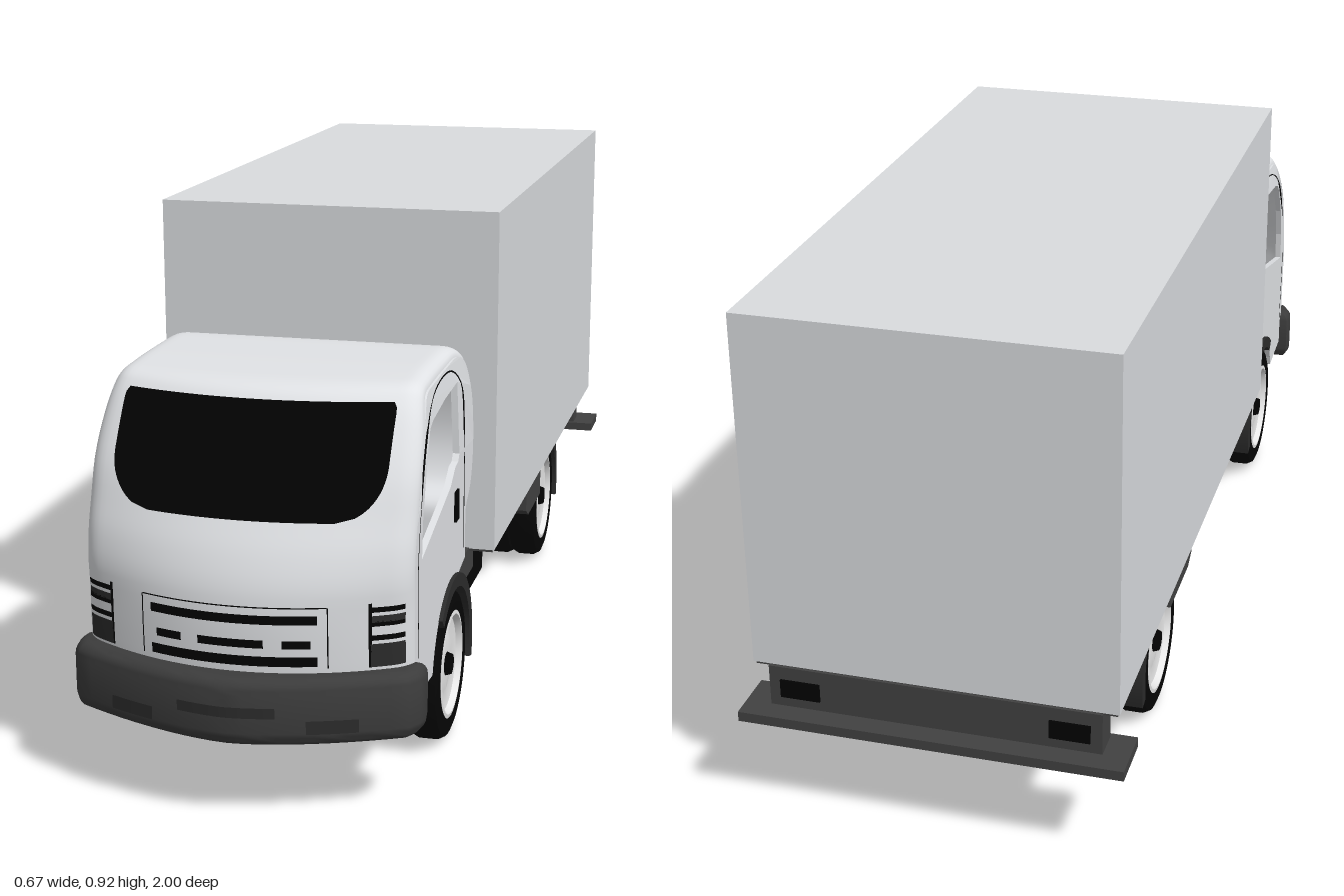
import * as THREE from 'three';
import { toCreasedNormals } from 'three/addons/utils/BufferGeometryUtils.js';

const mat = (name, color, side = THREE.FrontSide) => {
  const m = new THREE.MeshStandardMaterial({ color, side });
  m.name = name;
  return m;
};
const clamp = THREE.MathUtils.clamp;
const rad = THREE.MathUtils.degToRad;

export function createModel() {
  const truck = new THREE.Group();
  truck.name = 'boxTruck';
  const paint = mat('cabPaint', 0xe1e3e6, THREE.DoubleSide);
  const cargo = mat('cargoGrey', 0xdadcdf);
  const plastic = mat('bumperGrey', 0x3c3c3c);
  const chassis = mat('chassisGrey', 0x424242);
  const guardMat = mat('guardGrey', 0x2c2c2c, THREE.DoubleSide);
  const black = mat('black', 0x020202, THREE.DoubleSide);
  const rubber = mat('rubber', 0x060606);
  const rimMat = mat('rimWhite', 0xfafafa, THREE.DoubleSide);

  const add = (name, geo, material, parent = truck) => {
    const m = new THREE.Mesh(geo, material);
    m.name = name;
    parent.add(m);
    return m;
  };
  // box given by its limits on each axis
  const box = (name, material, [x0, x1], [y0, y1], [z0, z1]) => {
    const g = new THREE.BoxGeometry(x1 - x0, y1 - y0, z1 - z0);
    g.translate((x0 + x1) / 2, (y0 + y1) / 2, (z0 + z1) / 2);
    return add(name, g, material);
  };
  // side outline of (z, y) points, extruded across x
  const across = (name, material, pts, x0, x1) => {
    const shape = new THREE.Shape(pts.map(p => new THREE.Vector2(...p)));
    const g = new THREE.ExtrudeGeometry(shape, { depth: x1 - x0, bevelEnabled: false });
    g.rotateY(-Math.PI / 2).translate(x1, 0, 0);
    return add(name, toCreasedNormals(g, 0.5), material);
  };
  // smooth surface from a point rule f(u, v)
  const surface = (nu, nv, f) => {
    const pos = [], idx = [];
    for (let j = 0; j <= nv; j++) for (let i = 0; i <= nu; i++) pos.push(...f(i / nu, j / nv));
    for (let j = 0; j < nv; j++) for (let i = 0; i < nu; i++) {
      const a = j * (nu + 1) + i, b = a + nu + 1;
      idx.push(a, a + 1, b, a + 1, b + 1, b);
    }
    const g = new THREE.BufferGeometry();
    g.setAttribute('position', new THREE.Float32BufferAttribute(pos, 3));
    g.setIndex(idx);
    g.computeVertexNormals();
    return g;
  };

  // ---- cab: centre profile (z, y) from the nose over the roof to the back
  const profile = new THREE.CatmullRomCurve3([
    [0.95, 0.19], [0.957, 0.27], [0.957, 0.38], [0.94, 0.44], [0.91, 0.5], [0.855, 0.6], [0.8, 0.675],
    [0.77, 0.69], [0.7, 0.696], [0.55, 0.698], [0.45, 0.693], [0.4, 0.672], [0.37, 0.62], [0.348, 0.53],
    [0.35, 0.47], [0.37, 0.42], [0.41, 0.385], [0.415, 0.34], [0.415, 0.285],
  ].map(([z, y]) => new THREE.Vector3(0, y, z))).getPoints(90);
  const halfWidth = y => 0.28 - 0.014 * clamp((y - 0.56) / 0.13, 0, 1.1) ** 2;
  const bow = (t, y, z) => t * t * (0.09 - 0.04 * clamp((y - 0.35) / 0.2, 0, 1)) * clamp((z - 0.6) / 0.2, 0, 1);
  const inset = t => {
    const k = clamp((Math.abs(t) - 0.89) / 0.11, 0, 1);
    return 0.02 * (1 - Math.sqrt(1 - k * k));
  };
  const skinPoint = (t, p) => {
    const dz = 0.64 - p.z, dy = 0.45 - p.y, s = inset(t) / Math.hypot(dz, dy);
    return [halfWidth(p.y) * t, p.y + dy * s, p.z + dz * s - bow(t, p.y, p.z)];
  };
  const n = profile.length - 1;
  add('cabShell', surface(40, n, (u, v) =>
    skinPoint(Math.sin((u - 0.5) * Math.PI), profile[Math.round(v * n)])), paint);

  // side panels with open window and wheel arch
  const edge = profile.map(p => skinPoint(1, p)).map(([, y, z]) => new THREE.Vector2(z, y));
  const arch = [];
  for (let i = 0; i <= 12; i++) {
    const a = rad(111 - 8 * i);
    arch.push(new THREE.Vector2(0.553 + 0.162 * Math.cos(a), 0.134 + 0.162 * Math.sin(a)));
  }
  const sideShape = new THREE.Shape([...edge, ...arch, new THREE.Vector2(0.83, 0.185)]);
  sideShape.holes.push(new THREE.Path([
    [0.8, 0.415], [0.795, 0.475], [0.775, 0.54], [0.745, 0.6], [0.73, 0.617], [0.705, 0.625], [0.6, 0.636],
    [0.495, 0.64], [0.495, 0.51], [0.505, 0.498], [0.53, 0.495], [0.57, 0.47],
  ].map(p => new THREE.Vector2(...p))));
  for (const s of [1, -1]) {
    const g = new THREE.ExtrudeGeometry(sideShape, { depth: 0.012, bevelEnabled: false });
    const p = g.attributes.position;
    for (let i = 0; i < p.count; i++) {
      const a = p.getX(i), b = p.getY(i), c = p.getZ(i);
      p.setXYZ(i, s * (halfWidth(b) - c), b, a);
    }
    g.computeVertexNormals();
    add('cabSide', g, paint);
    // door seam and handle
    const seam = new THREE.CatmullRomCurve3([
      [0.45, 0.32], [0.45, 0.5], [0.458, 0.62], [0.52, 0.665], [0.68, 0.66], [0.76, 0.605], [0.826, 0.43], [0.822, 0.25],
    ].map(([z, y]) => new THREE.Vector3(s * (halfWidth(y) - 0.001), y, z)));
    add('doorSeam', new THREE.TubeGeometry(seam, 60, 0.0017, 5), black);
    box('doorHandle', black, [s * 0.28 - 0.004, s * 0.28 + 0.004], [0.395, 0.45], [0.51, 0.537]);
  }
  box('cabFloor', paint, [-0.267, 0.267], [0.299, 0.306], [0.44, 0.84]);
  box('cabUnderside', guardMat, [-0.266, 0.266], [0.187, 0.195], [0.66, 0.86]);
  box('rearCabPanel', black, [-0.16, 0.16], [0.44, 0.56], [0.34, 0.352]);

  // thin plates that follow a front surface
  const cabZ = (x, y) => {
    let i = 0;
    while (i < n - 1 && profile[i + 1].y < y) i++;
    const a = profile[i], b = profile[i + 1];
    const z = a.z + (b.z - a.z) * (y - a.y) / (b.y - a.y);
    const t = x / halfWidth(y);
    return z - bow(t, y, z) - inset(t) + 0.005;
  };
  const plate = (name, [x0, x1], [y0, y1], zAt, material = black) =>
    add(name, surface(16, 4, (u, v) => {
      const x = x0 + (x1 - x0) * u, y = y0 + (y1 - y0) * v;
      return [x, y, zAt(x, y)];
    }), material);

  // windscreen with rounded lower corners
  add('windscreen', surface(32, 24, (u, v) => {
    const y = 0.497 + 0.174 * v, k = clamp(1 - v / 0.48, 0, 1);
    const h = 0.158 + 0.075 * Math.sqrt(1 - k * k) - 0.006 * clamp((v - 0.95) / 0.05, 0, 1);
    const x = h * (2 * u - 1);
    return [x, y, cabZ(x, y)];
  }), black);
  // grille bars and headlights
  plate('grilleTop', [-0.14, 0.14], [0.34, 0.355], cabZ);
  plate('grilleBottom', [-0.14, 0.14], [0.268, 0.285], cabZ);
  plate('grilleMiddle', [-0.055, 0.055], [0.299, 0.313], cabZ);
  plate('grilleLine', [-0.155, 0.155], [0.367, 0.369], cabZ);
  for (const s of [1, -1]) {
    plate('grilleMiddleSide', [s * 0.085, s * 0.13], [0.299, 0.313], cabZ);
    plate('grilleEdge', [s * 0.155, s * 0.157], [0.265, 0.368], cabZ);
    plate('headlight', [s * 0.22, s * 0.27], [0.262, 0.302], cabZ, guardMat);
    plate('headlightTop', [s * 0.222, s * 0.27], [0.335, 0.35], cabZ, guardMat);
    for (let i = 0; i < 3; i++)
      plate('headlightBar', [s * 0.222, s * 0.27], [0.308 + 0.024 * i, 0.317 + 0.024 * i], cabZ);
    plate('headlightInner', [s * 0.217, s * 0.222], [0.262, 0.372], cabZ);
  }

  // ---- bumper
  const bumperZ = x => 1 - 0.1 * (Math.abs(x) / 0.3) ** 1.6;
  const plan = [];
  for (let i = 0; i <= 20; i++) {
    const x = -0.285 + 0.0285 * i;
    plan.push(new THREE.Vector2(x, bumperZ(x)));
  }
  plan.push(...[[0.298, 0.885], [0.302, 0.86], [0.298, 0.832], [0.24, 0.832], [-0.24, 0.832],
    [-0.298, 0.832], [-0.302, 0.86], [-0.298, 0.885]].map(p => new THREE.Vector2(...p)));
  const bumper = new THREE.ExtrudeGeometry(new THREE.Shape(plan), {
    depth: 0.065, bevelSize: 0.022, bevelThickness: 0.025, bevelOffset: -0.022, bevelSegments: 5,
  });
  bumper.rotateX(Math.PI / 2).translate(0, 0.23, 0);
  add('bumper', toCreasedNormals(bumper, 0.8), plastic);
  const onBumper = x => bumperZ(x) + 0.003;
  plate('bumperSlot', [-0.082, 0.082], [0.193, 0.211], onBumper, guardMat);
  for (const s of [1, -1]) plate('fogLamp', [s * 0.13, s * 0.21], [0.165, 0.188], onBumper, guardMat);

  // ---- cargo body, frame and rear bar
  box('cargoBox', cargo, [-0.318, 0.318], [0.282, 0.918], [-0.96, 0.342]);
  box('cargoFloor', chassis, [-0.314, 0.314], [0.277, 0.283], [-0.957, 0.339]);
  box('frontCrossMember', chassis, [-0.27, 0.27], [0.232, 0.284], [0.3, 0.44]);
  box('rearBar', chassis, [-0.335, 0.335], [0.185, 0.203], [-1, -0.9]);
  box('rearPanel', chassis, [-0.29, 0.29], [0.2, 0.279], [-0.962, -0.91]);
  for (const s of [1, -1]) {
    const rail = s * 0.13, x = s * 0.19;
    box('frameRail', chassis, [rail - 0.035, rail + 0.035], [0.228, 0.279], [-0.92, 0.31]);
    box('rearLamp', black, [s * 0.235 - 0.035, s * 0.235 + 0.035], [0.222, 0.255], [-0.966, -0.955]);
    // block ahead of the rear wheel, its lower front corner cut off
    across('wheelBlock', chassis, [[-0.42, 0.279], [-0.42, 0.163], [-0.26, 0.163], [-0.23, 0.18], [-0.23, 0.279]],
      s * 0.24 - 0.045, s * 0.24 + 0.045);
    // battery case, tank and pipe under the frame
    box('batteryCase', rubber, [x - 0.05, x + 0.05], [0.14, 0.235], [0.04, 0.1]);
    box('batteryTray', rubber, [x - 0.05, x + 0.05], [0.14, 0.2], [0.1, 0.22]);
    box('batteryHanger', rubber, [x - 0.045, x + 0.045], [0.2, 0.279], [0.16, 0.22]);
    const rod = (name, r, y, z0, z1, material) => add(name,
      new THREE.CylinderGeometry(r, r, z1 - z0, 24).rotateX(Math.PI / 2).translate(x, y, (z0 + z1) / 2), material);
    rod('tank', 0.04, 0.185, -0.115, 0.03, rubber);
    rod('tankBand', 0.041, 0.185, -0.102, -0.098, cargo);
    rod('tankNeck', 0.028, 0.182, -0.14, -0.115, rubber);
    rod('tankPipe', 0.011, 0.175, -0.185, -0.14, rubber);
  }

  // ---- wheels and guards
  const lathe = (pts, seg = 40) => new THREE.LatheGeometry(pts.map(p => new THREE.Vector2(...p)), seg);
  const tyreGeo = toCreasedNormals(lathe([[0.095, -0.029], [0.118, -0.031], [0.129, -0.027], [0.135, -0.016],
    [0.135, 0.016], [0.129, 0.027], [0.118, 0.031], [0.095, 0.029], [0.095, -0.029]]), 0.7);
  const rimGeo = toCreasedNormals(lathe([[0.097, 0.03], [0.09, 0.031], [0.084, 0.02], [0.06, 0.016], [0.05, 0.018],
    [0.03, 0.02], [0.001, 0.02]]), 0.7);
  const capGeo = new THREE.CylinderGeometry(0.018, 0.022, 0.012, 20).translate(0, 0.024, 0);
  const wheel = (s, x, z) => {
    const w = new THREE.Group();
    w.name = 'wheel';
    add('tyre', tyreGeo, rubber, w);
    add('rim', rimGeo, rimMat, w);
    add('hubCap', capGeo, black, w);
    w.rotation.z = -s * Math.PI / 2;
    w.position.set(s * x, 0.135, z);
    truck.add(w);
  };
  // arc of (z, y) points around a wheel centre
  const arc = (z, r, from, to) => Array.from({ length: 25 }, (_, i) => {
    const a = rad(from + (to - from) * i / 24);
    return [z + r * Math.cos(a), 0.134 + r * Math.sin(a)];
  });
  for (const z of [0.553, -0.495]) {
    // closed wheel well between the tyres, rounded over the top and back
    across('wheelWell', guardMat,
      [...arc(z, 0.163, 50, 195), [z + 0.1, 0.092], [z + 0.12, 0.14]], -0.162, 0.162);
    for (const s of [1, -1]) {
      wheel(s, 0.252, z);
      wheel(s, 0.193, z);
      // mudguard curving over and behind the tyres
      const x = s * 0.224;
      across('mudguard', guardMat, [...arc(z, 0.165, 48, 195), ...arc(z, 0.141, 195, 48)], x - 0.063, x + 0.063);
    }
  }
  return truck;
}
